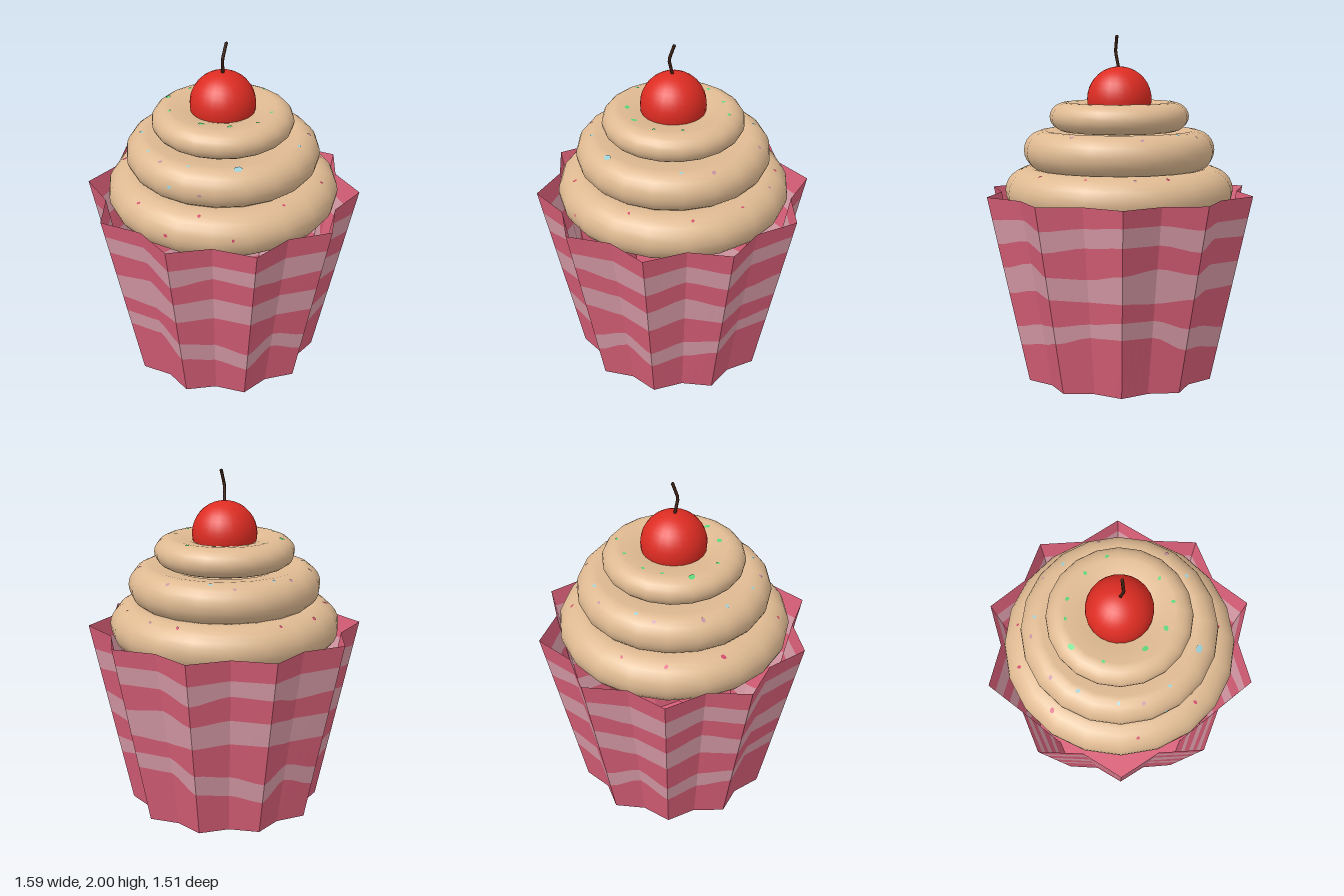
import * as THREE from 'three';
import { mergeGeometries } from 'three/addons/utils/BufferGeometryUtils.js';

const mat = (name, color, side = THREE.FrontSide) => {
  const m = new THREE.MeshStandardMaterial({ color, side });
  m.name = name;
  return m;
};

const WALL = 1.09;
// Heights of the wavy stripe edges at each pleat corner; the pattern covers half a turn
const EDGES = [
  [0.23, 0.20, 0.28, 0.22, 0.25, 0.30, 0.34, 0.35, 0.34, 0.26],
  [0.355, 0.32, 0.38, 0.33, 0.37, 0.40, 0.42, 0.45, 0.44, 0.385],
  [0.57, 0.57, 0.53, 0.53, 0.57, 0.56, 0.55, 0.56, 0.54, 0.56],
  [0.72, 0.715, 0.68, 0.68, 0.73, 0.69, 0.68, 0.72, 0.74, 0.70],
  [0.87, 0.86, 0.80, 0.82, 0.86, 0.83, 0.86, 0.88, 0.875, 0.83],
  [0.965, 0.965, 0.955, 0.96, 0.98, 0.95, 0.97, 0.99, 0.985, 0.955],
];
const PLEATS = 20, SUB = 4;

// Corner j of the pleated wall at height y: even corners fold in, odd ones point out
function corner(j, y) {
  const t = y / WALL, a = (j * Math.PI) / 10;
  const r = j % 2 ? 0.555 + 0.24 * t : 0.485 + 0.205 * t;
  return new THREE.Vector3(Math.sin(a) * r, y, Math.cos(a) * r);
}

// Point on the wall at pleat j, fraction f, on stripe edge number row
function wallPoint(j, f, row) {
  let y = row === 0 ? 0 : WALL;
  if (row > 0 && row <= EDGES.length) {
    const e = EDGES[row - 1];
    y = THREE.MathUtils.lerp(e[j % 10], e[(j + 1) % 10], f * f * (3 - 2 * f));
  }
  return corner(j, y).lerp(corner(j + 1, y), f);
}

function fromPoints(points) {
  const g = new THREE.BufferGeometry().setFromPoints(points);
  g.computeVertexNormals();
  return g;
}

// Wall rows: even rows are plain paper, odd rows are stripes
function wallRows(parity) {
  const pts = [];
  for (let row = parity; row <= EDGES.length; row += 2)
    for (let j = 0; j < PLEATS; j++)
      for (let s = 0; s < SUB; s++) {
        const a = wallPoint(j, s / SUB, row), b = wallPoint(j, (s + 1) / SUB, row);
        const c = wallPoint(j, (s + 1) / SUB, row + 1), d = wallPoint(j, s / SUB, row + 1);
        pts.push(a, b, c, a, c, d);
      }
  return fromPoints(pts);
}

function wrapperBase() {
  const pts = [];
  for (let j = 0; j < PLEATS; j++) pts.push(new THREE.Vector3(), corner(j + 1, 0), corner(j, 0));
  return fromPoints(pts);
}

// One swirl of icing: rounded rim with a slightly dished top
function icingRing(y, radius, a, b) {
  const pts = [new THREE.Vector2(0, y - b)];
  for (let i = 0; i <= 12; i++) {
    const t = -Math.PI / 2 + (i * Math.PI) / 12;
    pts.push(new THREE.Vector2(radius - a + Math.cos(t) * a, y + Math.sin(t) * b));
  }
  const inner = radius - a;
  pts.push(new THREE.Vector2(inner * 0.7, y + b * 0.85));
  pts.push(new THREE.Vector2(inner * 0.4, y + b * 0.5));
  pts.push(new THREE.Vector2(0, y + b * 0.4));
  return new THREE.LatheGeometry(pts, 20);
}

export function createModel() {
  const model = new THREE.Group();
  model.name = 'cupcake';
  const add = (name, geometry, material) => {
    const mesh = new THREE.Mesh(geometry, material);
    mesh.name = name;
    model.add(mesh);
    return mesh;
  };

  // Pleated paper wrapper
  const pink = mat('pink paper', 0xd95f78, THREE.DoubleSide);
  const pale = mat('pale stripe', 0xd99ca8, THREE.DoubleSide);
  add('wrapperPaper', wallRows(0), pink);
  add('wrapperStripes', wallRows(1), pale);
  add('wrapperBase', wrapperBase(), pink);

  // Icing in three swirls
  const icing = mat('icing', 0xdfba92);
  const rings = [
    add('lowerIcing', icingRing(1.1, 0.668, 0.15, 0.137), icing),
    add('middleIcing', icingRing(1.335, 0.557, 0.12, 0.118), icing),
    add('upperIcing', icingRing(1.53, 0.406, 0.1, 0.085), icing),
  ];

  // Sprinkles as thin flakes: [x, z, size] dropped from above, [x, y, size] pressed in from the front
  const sprinkles = [
    ['greenSprinkles', mat('green sprinkle', 0x5cd67c), [
      [-0.11, -0.27, 0.014], [0.07, -0.28, 0.013], [0.22, -0.24, 0.013], [-0.21, -0.21, 0.012],
      [-0.32, -0.09, 0.022], [0.28, 0.07, 0.012], [-0.29, 0.1, 0.012], [-0.1, 0.24, 0.02],
      [0.06, 0.265, 0.018], [0.21, 0.21, 0.013]], []],
    ['blueSprinkles', mat('pale blue sprinkle', 0x9ccfd6), [
      [0.1, -0.46, 0.014], [-0.25, -0.4, 0.013], [-0.46, 0.05, 0.015], [-0.39, 0.27, 0.012],
      [-0.15, 0.44, 0.012], [0.12, 0.45, 0.026], [0.44, 0.15, 0.013]],
      [[-0.25, 1.345, 0.014]]],
    ['mauveSprinkles', mat('mauve sprinkle', 0xc792a0), [
      [-0.03, -0.505, 0.011], [-0.35, -0.35, 0.014], [0.33, -0.38, 0.014], [-0.48, -0.12, 0.016],
      [0.49, -0.02, 0.016], [-0.31, 0.38, 0.014], [0.43, -0.4, 0.011]],
      [[-0.08, 1.33, 0.013]]],
    ['pinkSprinkles', mat('pink sprinkle', 0xcf4b6b), [
      [-0.28, -0.515, 0.011], [0.28, -0.515, 0.013], [-0.48, -0.355, 0.015], [-0.58, -0.05, 0.018],
      [0.57, 0.14, 0.012], [-0.43, 0.43, 0.012], [-0.08, 0.575, 0.013], [0.37, 0.43, 0.011],
      [0.56, -0.165, 0.01]],
      [[-0.26, 1.11, 0.014], [0.11, 1.12, 0.01]]],
  ];
  const ray = new THREE.Raycaster();
  const flake = (origin, dir, size, turn) => {
    ray.set(origin, dir);
    const hit = ray.intersectObjects(rings)[0];
    if (!hit) return null;
    const g = new THREE.CircleGeometry(size, 6).scale(1, 0.75, 1).rotateZ(turn);
    g.applyQuaternion(new THREE.Quaternion().setFromUnitVectors(new THREE.Vector3(0, 0, 1), hit.face.normal));
    const p = hit.point.addScaledVector(hit.face.normal, 0.003);
    return g.translate(p.x, p.y, p.z);
  };
  const down = new THREE.Vector3(0, -1, 0), back = new THREE.Vector3(0, 0, -1);
  for (const [name, material, top, front] of sprinkles) {
    const flakes = [
      ...top.map(([x, z, s], i) => flake(new THREE.Vector3(x, 3, z), down, s, i * 1.3)),
      ...front.map(([x, y, s], i) => flake(new THREE.Vector3(x, y, 3), back, s, i * 1.3)),
    ].filter(Boolean);
    add(name, mergeGeometries(flakes), material);
  }

  // Cherry and its bent stem
  add('cherry', new THREE.SphereGeometry(0.188, 24, 18), mat('cherry red', 0xdd2c22)).position.y = 1.632;
  const stem = new THREE.CurvePath();
  const bends = [[0, 1.79, 0], [0, 1.905, 0.027], [0.02, 1.997, 0.003]].map((p) => new THREE.Vector3(...p));
  stem.add(new THREE.LineCurve3(bends[0], bends[1]));
  stem.add(new THREE.LineCurve3(bends[1], bends[2]));
  const brown = mat('stem brown', 0x3d2012, THREE.DoubleSide);
  add('stem', new THREE.TubeGeometry(stem, 10, 0.009, 6), brown);
  const tip = add('stemTip', new THREE.SphereGeometry(0.009, 6, 4), brown);
  tip.position.set(0.02, 1.991, 0.003);
  return model;
}
